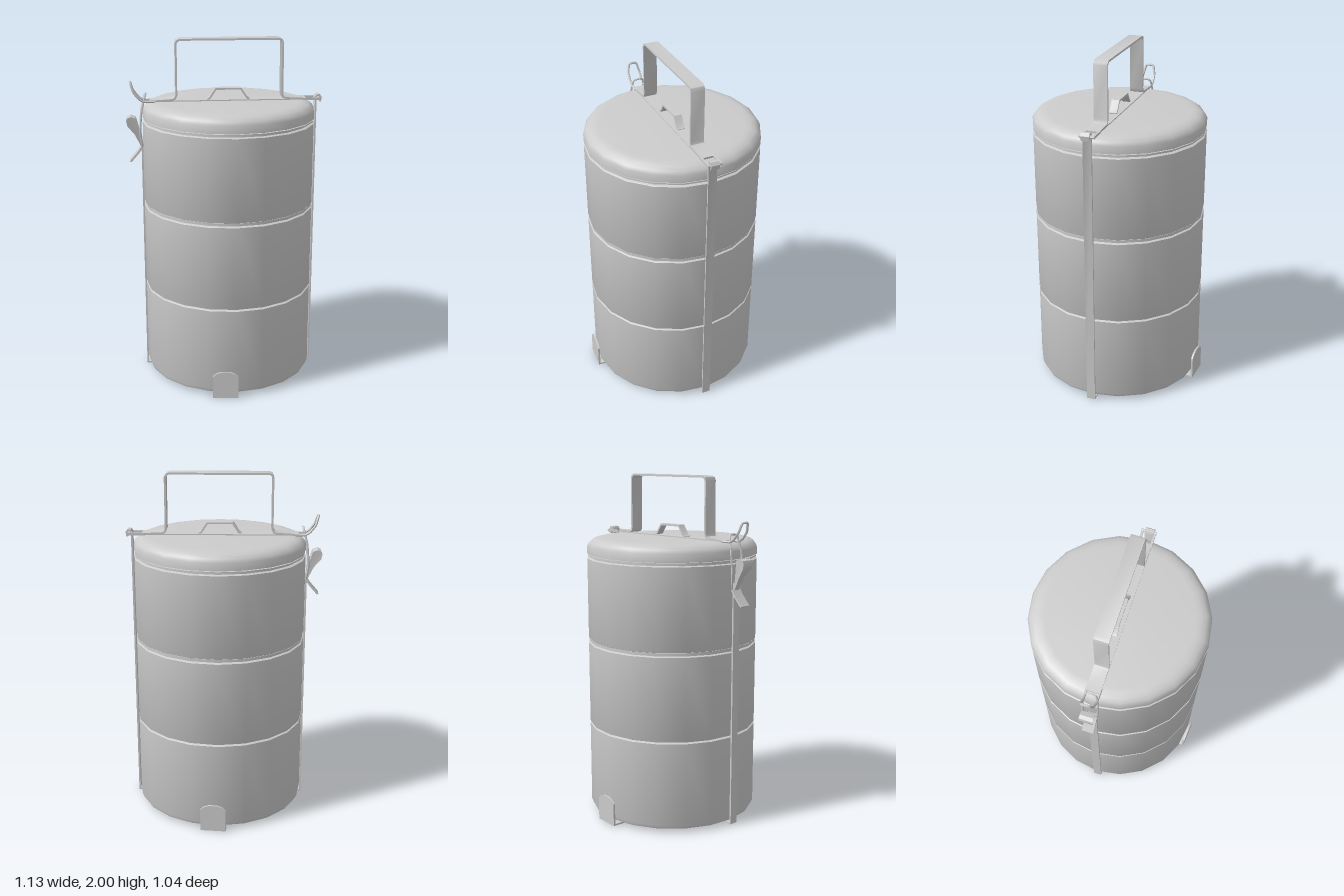
import * as THREE from 'three';
import { toCreasedNormals } from 'three/addons/utils/BufferGeometryUtils.js';

const metal = new THREE.MeshStandardMaterial({ color: 0xcccccc, side: THREE.DoubleSide });
const CX = 0.025, CZ = -0.005, R = 0.497;

function add(parent, name, geometry, x = 0, y = 0, z = 0) {
  const mesh = new THREE.Mesh(toCreasedNormals(geometry, 0.6), metal);
  mesh.name = name;
  mesh.position.set(x, y, z);
  parent.add(mesh);
  return mesh;
}

// Twenty-sided turned part from [radius, y] pairs
function turned(profile) {
  return new THREE.LatheGeometry(profile.map(([r, y]) => new THREE.Vector2(r, y)), 20);
}

// Extrude a closed outline in the xy plane, centred on z
function plate(outline, width) {
  const shape = new THREE.Shape(outline.map(([x, y]) => new THREE.Vector2(x, y)));
  return new THREE.ExtrudeGeometry(shape, { depth: width, bevelEnabled: false }).translate(0, 0, -width / 2);
}

// Bent flat strip: offset a path to both sides with mitred corners
function strip(path, thickness, width) {
  const p = path.map(([x, y]) => new THREE.Vector2(x, y));
  const left = [], right = [];
  p.forEach((c, i) => {
    const a = c.clone().sub(p[Math.max(i - 1, 0)]).normalize();
    const b = p[Math.min(i + 1, p.length - 1)].clone().sub(c).normalize();
    const t = a.clone().add(b).normalize();
    const n = new THREE.Vector2(-t.y, t.x);
    const ref = i === 0 ? b : a;
    const h = thickness / 2 / Math.max(0.4, t.dot(ref));
    left.push([c.x + n.x * h, c.y + n.y * h]);
    right.unshift([c.x - n.x * h, c.y - n.y * h]);
  });
  return plate([...left, ...right], width);
}

// Bent round wire through straight segments
function wire(points, radius, closed = false) {
  const v = points.map((q) => new THREE.Vector3(...q));
  const curve = new THREE.CatmullRomCurve3(v, closed, 'catmullrom', 0.15);
  return new THREE.TubeGeometry(curve, v.length * 5, radius, 6, closed);
}

export function createModel() {
  const model = new THREE.Group();
  model.name = 'stackedFoodCarrier';

  // Three stacked containers, each with a rounded foot and a recessed joint
  [[0.016, 0.535], [0.54, 1.03], [1.052, 1.528]].forEach(([y0, y1], i) => {
    const foot = i === 0 ? 0.03 : 0.008;
    add(model, 'container' + (i + 1), turned([
      [0, y0], [R - foot, y0], [R - foot * 0.3, y0 + foot * 0.3], [R, y0 + foot],
      [R, y1 - 0.004], [R - 0.006, y1], [0, y1],
    ]), CX, 0, CZ);
  });
  [[0.53, 0.545], [1.025, 1.037], [1.525, 1.552]].forEach(([y0, y1]) => {
    add(model, 'jointNeck', turned([[R - 0.02, y0], [R - 0.02, y1]]), CX, 0, CZ);
  });
  [[1.036, 1.052], [1.537, 1.546]].forEach(([y0, y1]) => {
    add(model, 'jointRim', turned([[R - 0.02, y0], [R - 0.004, y0], [R - 0.004, y1], [R - 0.02, y1]]), CX, 0, CZ);
  });

  // Lid with a rounded shoulder
  add(model, 'lid', turned([
    [0, 1.552], [R, 1.552], [R, 1.595], [R - 0.01, 1.615], [R - 0.032, 1.632],
    [R - 0.06, 1.641], [R - 0.09, 1.644], [0, 1.645],
  ]), CX, 0, CZ);

  // Small grip on the lid
  add(model, 'lidGrip', strip([
    [-0.1, 1.65], [-0.085, 1.658], [-0.05, 1.711], [0.095, 1.711], [0.13, 1.658], [0.145, 1.65],
  ], 0.01, 0.045), 0, 0, CZ);

  // Carrying handle, bent from one strip with outward feet
  add(model, 'topBand', strip([[-0.4, 1.648], [0.47, 1.648]], 0.006, 0.08), 0, 0, CZ);
  add(model, 'carryHandle', strip([
    [-0.43, 1.647], [-0.3, 1.655], [-0.285, 1.662], [-0.277, 1.68], [-0.277, 1.972], [-0.27, 1.987],
    [-0.255, 1.994], [0.31, 1.994], [0.325, 1.987], [0.332, 1.972], [0.332, 1.68], [0.338, 1.662],
    [0.352, 1.655], [0.47, 1.65],
  ], 0.011, 0.08), 0, 0, CZ);

  // Hinge: fork at the end of the band, held by a curled hook
  for (const side of [-1, 1]) {
    add(model, 'hingeFork', new THREE.BoxGeometry(0.095, 0.013, 0.012), 0.5, 1.649, CZ + side * 0.036);
  }
  add(model, 'hingePin', new THREE.CylinderGeometry(0.009, 0.009, 0.088, 8).rotateX(Math.PI / 2), 0.545, 1.65, CZ);

  // Side straps joined under the base, curled over at the hinge
  add(model, 'sideStraps', strip([
    [-0.477, 1.42], [-0.477, 0.009], [0.53, 0.009], [0.53, 1.655], [0.537, 1.667],
    [0.551, 1.668], [0.56, 1.655], [0.556, 1.63],
  ], 0.01, 0.05));

  // Cross strap under the base with upturned tabs front and back
  const cross = new THREE.Group();
  cross.name = 'crossStrap';
  cross.position.set(0.008, 0, CZ);
  cross.rotation.y = -0.09;
  model.add(cross);
  add(cross, 'crossBar', new THREE.BoxGeometry(0.148, 0.01, 1.02), 0, 0.007, 0);
  const tab = [[-0.074, 0.002], [0.074, 0.002], [0.074, 0.135], [0.055, 0.152], [0.025, 0.163],
    [-0.025, 0.163], [-0.055, 0.152], [-0.074, 0.135]];
  for (const side of [-1, 1]) add(cross, 'tab', plate(tab, 0.011), 0, 0, side * 0.508);

  // Latch: cupped lever with a finger tail
  const latch = new THREE.Group();
  latch.name = 'latch';
  latch.position.z = CZ;
  model.add(latch);
  const lever = plate([[-0.566, 1.535], [-0.56, 1.552], [-0.54, 1.56], [-0.512, 1.55], [-0.497, 1.5],
    [-0.486, 1.44], [-0.474, 1.385], [-0.484, 1.38], [-0.52, 1.455], [-0.56, 1.505]], 0.076);
  const pos = lever.attributes.position;
  for (let i = 0; i < pos.count; i++) {
    const t = THREE.MathUtils.clamp((pos.getY(i) - 1.38) / 0.13, 0.45, 1);
    pos.setZ(i, pos.getZ(i) * t);
  }
  add(latch, 'lever', lever);
  add(latch, 'leverTail', strip([[-0.476, 1.387], [-0.5, 1.35], [-0.547, 1.296]], 0.011, 0.066));

  // Wire bail running from the lever over the band
  const s = 0.042;
  add(latch, 'wireBail', wire([
    [-0.476, 1.385, s * 0.7], [-0.488, 1.47, s], [-0.478, 1.59, s], [-0.456, 1.68, s * 0.7],
    [-0.452, 1.688, 0], [-0.456, 1.68, -s * 0.7], [-0.478, 1.59, -s], [-0.488, 1.47, -s], [-0.476, 1.385, -s * 0.7],
  ], 0.006, true));

  // Upturned catch loop at the end of the band
  const w = 0.036;
  add(latch, 'catchLoop', wire([
    [-0.4, 1.647, w], [-0.462, 1.647, w], [-0.49, 1.662, w], [-0.522, 1.702, w * 0.95], [-0.538, 1.752, w * 0.6],
    [-0.538, 1.752, -w * 0.6], [-0.522, 1.702, -w * 0.95], [-0.49, 1.662, -w], [-0.462, 1.647, -w], [-0.4, 1.647, -w],
  ], 0.007));

  return model;
}
